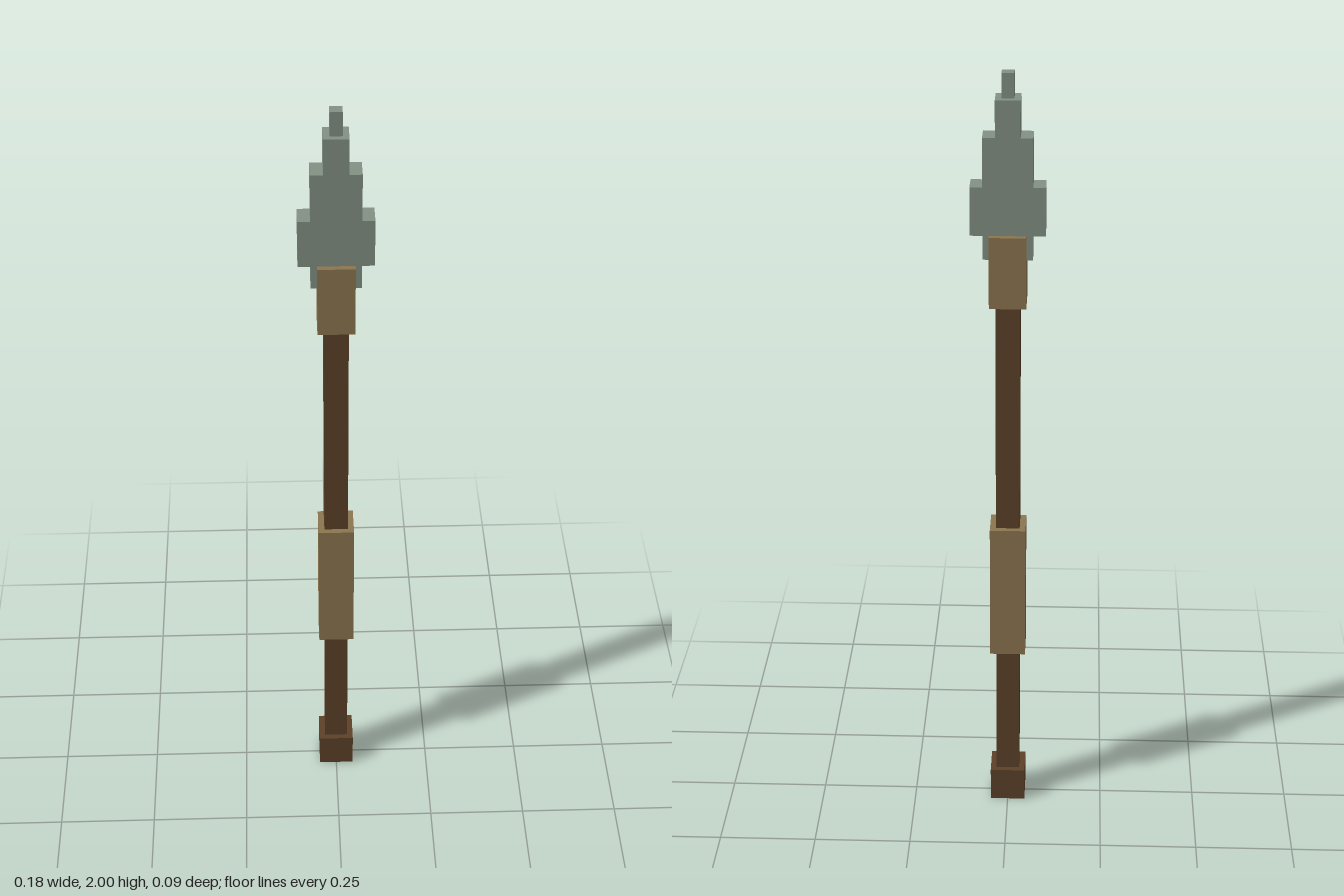
import * as THREE from 'three';

const U = 2 / 66; // one block unit; the spear is 66 units tall

export function createModel() {
  const spear = new THREE.Group();
  spear.name = 'spear';

  const wood = new THREE.MeshStandardMaterial({ name: 'dark wood', color: 0x5f4229 });
  const wrap = new THREE.MeshStandardMaterial({ name: 'tan wrapping', color: 0x8e7750 });
  const stone = new THREE.MeshStandardMaterial({ name: 'grey green stone', color: 0x849385 });

  // Square block centred on the axis, between two heights in units
  const block = (name, material, width, bottom, top) => {
    const geometry = new THREE.BoxGeometry(width * U, (top - bottom) * U, width * U);
    const mesh = new THREE.Mesh(geometry, material);
    mesh.name = name;
    mesh.position.y = (bottom + top) / 2 * U;
    spear.add(mesh);
  };

  block('pommel', wood, 3, 0, 3);
  block('lowerShaft', wood, 2, 3, 15);
  block('grip', wrap, 3, 15, 27);
  block('upperShaft', wood, 2, 27, 47);
  block('collar', wrap, 3, 47, 53);

  // Stepped flat blade: [half width, bottom, top] of each step
  const steps = [[2, 51, 53], [3, 53, 57], [2, 57, 61], [1, 61, 64]];
  const rightEdge = steps.flatMap(([w, y0, y1]) => [[w, y0], [w, y1]]);
  const leftEdge = rightEdge.map(([x, y]) => [-x, y]).reverse();
  const outline = [...rightEdge, ...leftEdge].map(([x, y]) => new THREE.Vector2(x * U, y * U));
  const bladeGeometry = new THREE.ExtrudeGeometry(new THREE.Shape(outline), { depth: 2 * U, bevelEnabled: false });
  bladeGeometry.translate(0, 0, -U);
  const blade = new THREE.Mesh(bladeGeometry, stone);
  blade.name = 'blade';
  spear.add(blade);

  block('bladeTip', stone, 1, 64, 66);

  return spear;
}
